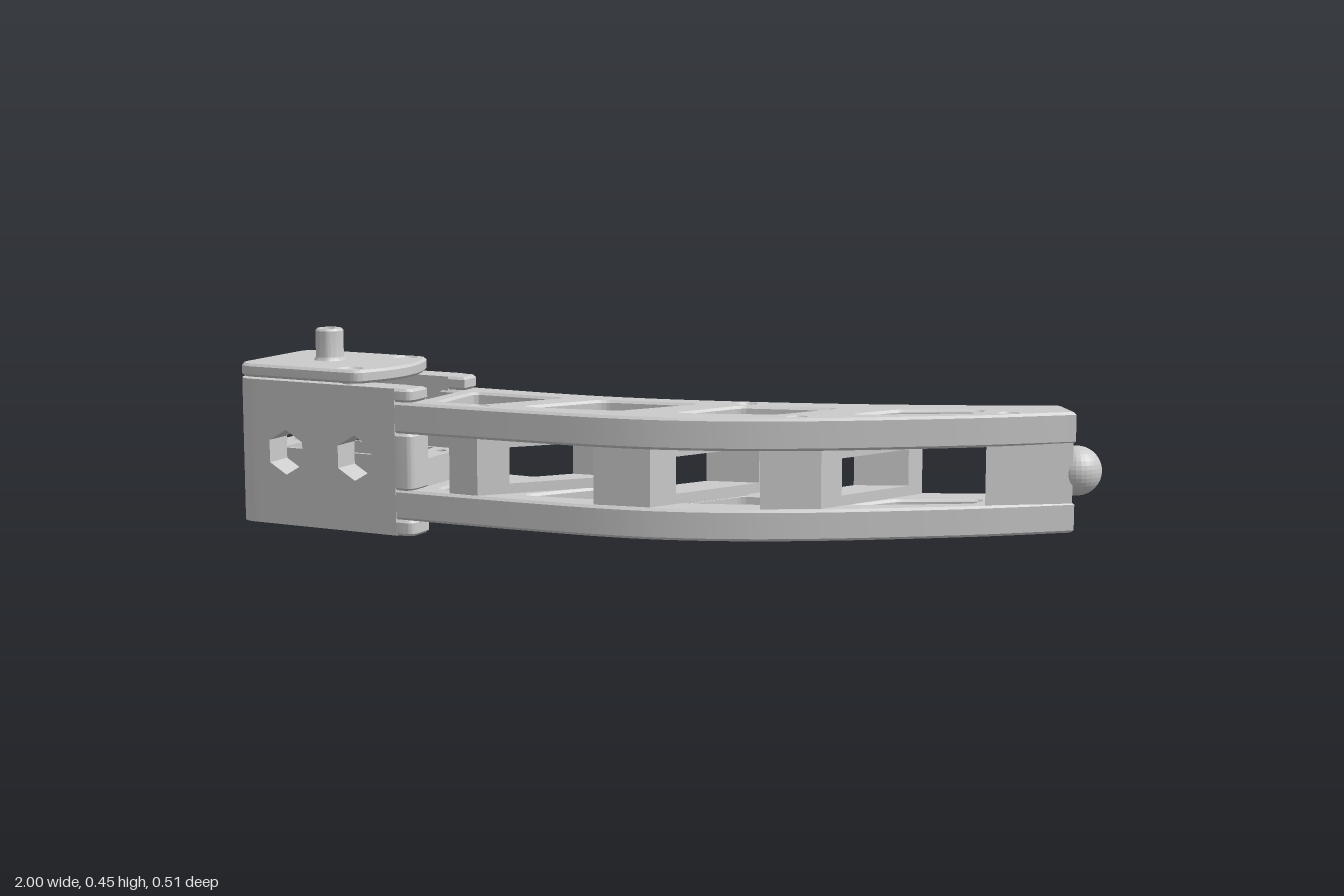
import * as THREE from 'three';
import { toCreasedNormals } from 'three/addons/utils/BufferGeometryUtils.js';

const material = new THREE.MeshStandardMaterial({ color: 0xcccccc });

function add(parent, name, geometry, x = 0, y = 0, z = 0) {
  const mesh = new THREE.Mesh(geometry, material);
  mesh.name = name;
  mesh.position.set(x, y, z);
  parent.add(mesh);
}

// Closed polygon of [x, z, radius] corners, drawn in plan (z is flipped)
function roundedPath(path, corners, radius = 0) {
  const n = corners.length;
  const p = corners.map(c => new THREE.Vector2(c[0], -c[1]));
  for (let i = 0; i < n; i++) {
    const r = corners[i][2] ?? radius;
    const toward = q => p[i].clone().add(q.clone().sub(p[i]).setLength(r));
    const a = toward(p[(i + n - 1) % n]), b = toward(p[(i + 1) % n]);
    if (i === 0) path.moveTo(a.x, a.y); else path.lineTo(a.x, a.y);
    if (r > 0) path.quadraticCurveTo(p[i].x, p[i].y, b.x, b.y);
  }
  path.closePath();
  return path;
}

const circle = (x, z, r) => new THREE.Path().absarc(x, -z, r, 0, Math.PI * 2, true);

// Plan shape raised from y0 to y1 with chamfered edges; the outline is
// made counter-clockwise so that every hole wall faces the right way
function slab(shape, y0, y1, bevel = 0.006) {
  const points = shape.getPoints(10);
  if (THREE.ShapeUtils.isClockWise(points)) points.reverse();
  const outline = new THREE.Shape(points);
  outline.holes = shape.holes;
  const g = new THREE.ExtrudeGeometry(outline, {
    depth: y1 - y0 - 2 * bevel, bevelEnabled: bevel > 0, bevelSize: bevel,
    bevelThickness: bevel, bevelOffset: -bevel, bevelSegments: 1, curveSegments: 10,
  });
  g.rotateX(-Math.PI / 2);
  g.translate(0, y0 + bevel, 0);
  return toCreasedNormals(g, 0.6);
}

const WIDTH = 0.306, WALL = 0.07, LENGTH = 0.485;

function createBase() {
  const base = new THREE.Group();
  base.name = 'baseBracket';
  base.position.set(-0.93, 0, -0.27);
  base.rotation.y = -Math.PI / 12;

  // Two side walls with hexagonal nut pockets, rounded heels and stepped fingers
  for (const back of [true, false]) {
    const side = back ? 'back' : 'front';
    const wall = new THREE.Shape();
    wall.moveTo(0.06, 0).lineTo(0.44, 0).lineTo(0.44, 0.34).lineTo(0.06, 0.34).closePath();
    for (const u of [0.14, 0.33]) {
      const hex = new THREE.Path();
      for (let i = 0; i < 6; i++) {
        const a = Math.PI / 2 - i * Math.PI / 3;
        hex[i ? 'lineTo' : 'moveTo'](u + 0.053 * Math.cos(a), 0.172 + 0.053 * Math.sin(a));
      }
      hex.closePath();
      wall.holes.push(hex);
    }
    add(base, side + 'Wall', new THREE.ExtrudeGeometry(wall, { depth: WALL, bevelEnabled: false }),
      0, 0, back ? 0 : WIDTH - WALL);

    const plan = corners => roundedPath(new THREE.Shape(),
      corners.map(([u, v, r]) => [u, back ? v : WIDTH - v, r]));
    const heel = plan([[0, 0, 0.05], [0.06, 0, 0], [0.06, WALL, 0], [0, WALL, 0]]);
    add(base, side + 'Heel', slab(heel, 0, 0.34, 0));
    const finger = plan([[0.43, 0, 0], [LENGTH, 0, 0.025], [LENGTH, WALL, 0], [0.43, WALL, 0]]);
    for (const [y0, y1] of [[0, 0.037], [0.105, 0.237], [0.309, 0.34]]) {
      add(base, side + 'Finger', slab(finger, y0, y1));
    }
  }

  // Mounting shelf with a large window and four screw holes
  const rect = (shape, u0, u1, v0, v1, r) =>
    roundedPath(shape, [[u0, v0], [u1, v0], [u1, v1], [u0, v1]], r);
  const shelf = rect(new THREE.Shape(), 0.005, 0.475, WALL, WIDTH - WALL, 0);
  shelf.holes.push(rect(new THREE.Path(), 0.08, 0.405, WALL + 0.01, WIDTH - WALL - 0.01, 0.005));
  for (const u of [0.04, 0.444]) for (const v of [0.112, 0.194]) shelf.holes.push(circle(u, v, 0.013));
  add(base, 'mountingShelf', slab(shelf, 0.105, 0.17, 0));

  // Upper bridge between the walls
  add(base, 'upperBridge', slab(rect(new THREE.Shape(), 0, 0.38, WALL, WIDTH - WALL, 0), 0.24, 0.31, 0));

  // Cap plate with bowed end
  const cap = new THREE.Shape();
  cap.moveTo(0.05, 0).lineTo(0.32, 0).quadraticCurveTo(0.345, 0, 0.352, -0.025)
    .quadraticCurveTo(0.418, -WIDTH / 2, 0.352, 0.025 - WIDTH)
    .quadraticCurveTo(0.345, -WIDTH, 0.32, -WIDTH).lineTo(0.05, -WIDTH)
    .quadraticCurveTo(0, -WIDTH, 0, 0.05 - WIDTH).lineTo(0, -0.05).quadraticCurveTo(0, 0, 0.05, 0);
  const screws = [0.034, WIDTH - 0.034];
  for (const v of screws) cap.holes.push(circle(0.3, v, 0.024));
  add(base, 'capPlate', slab(cap, 0.344, 0.375));
  for (const v of screws) {
    add(base, 'capScrew', new THREE.CylinderGeometry(0.018, 0.018, 0.034, 20), 0.3, 0.355, v);
  }

  // Hollow pivot pin with a small flared foot
  const pin = [[0.04, 0.372], [0.036, 0.377], [0.033, 0.383], [0.033, 0.445], [0.029, 0.45],
    [0.014, 0.45], [0.014, 0.41], [0, 0.41]].map(p => new THREE.Vector2(...p));
  add(base, 'pivotPin', toCreasedNormals(new THREE.LatheGeometry(pin, 28), 0.5), 0.165, 0, WIDTH / 2);
  return base;
}

function createArm() {
  const arm = new THREE.Group();
  arm.name = 'curvedArm';

  // Outline of the truss plates: back edge, slanted tip, front edge, notched root
  const flip = list => list.map(([x, z]) => new THREE.Vector2(x, -z));
  const backEdge = flip([[-0.4, -0.122], [-0.29, -0.09], [-0.14, -0.055], [0.03, -0.036],
    [0.24, -0.032], [0.46, -0.043], [0.67, -0.068], [0.905, -0.105]]);
  const frontEdge = flip([[0.75, 0.08], [0.56, 0.149], [0.38, 0.205], [0.22, 0.24], [0.06, 0.254],
    [-0.08, 0.245], [-0.24, 0.216], [-0.4, 0.182], [-0.603, 0.134]]);
  const plate = new THREE.Shape();
  plate.moveTo(-0.525, 0.157).splineThru(backEdge).lineTo(0.942, 0.005).splineThru(frontEdge);
  for (const p of flip([[-0.584, 0.063], [-0.531, 0.077], [-0.49, -0.075], [-0.543, -0.09]])) {
    plate.lineTo(p.x, p.y);
  }
  plate.closePath();

  // Slanted lightening windows and screw holes
  const windows = [
    [[-0.45, -0.06], [-0.225, -0.005], [-0.38, 0.132], [-0.49, 0.108]],
    [[-0.125, 0.01], [0.095, 0.03], [-0.065, 0.172], [-0.28, 0.145]],
    [[0.2, 0.042], [0.415, 0.04], [0.295, 0.155], [0.075, 0.177]],
    [[0.55, 0.038], [0.74, 0.003], [0.725, 0.05], [0.46, 0.125]],
  ];
  for (const w of windows) plate.holes.push(roundedPath(new THREE.Path(), w, 0.02));
  for (const [x, z] of [[-0.38, 0.157], [0.205, 0.002], [0.345, 0.185], [0.795, 0.04]]) {
    plate.holes.push(circle(x, z, 0.018));
  }
  add(arm, 'lowerPlate', slab(plate, 0.037, 0.107));
  add(arm, 'upperPlate', slab(plate, 0.237, 0.309));

  // Diagonal webs between the plates, each pierced by a wide window:
  // two end pillars joined by a low and a high rail
  const webs = [
    { front: [[-0.45, 0.16], [-0.38, 0.178]], back: [[-0.165, -0.05], [-0.06, -0.035]] },
    { front: [[-0.1, 0.232], [0.03, 0.243]], back: [[0.15, -0.022], [0.27, -0.022]] },
    { front: [[0.27, 0.218], [0.4, 0.187]], back: [[0.48, -0.03], [0.6, -0.045]] },
  ];
  for (const { front, back } of webs) {
    const mix = (i, t) => front[i].map((f, k) => f + (back[i][k] - f) * t);
    const piece = (name, t0, t1, y0, y1) => add(arm, name,
      slab(roundedPath(new THREE.Shape(), [mix(0, t0), mix(1, t0), mix(1, t1), mix(0, t1)]), y0, y1, 0));
    piece('webFrontPillar', 0, 0.2, 0.104, 0.24);
    piece('webBackPillar', 0.86, 1, 0.104, 0.24);
    piece('webLowRail', 0.2, 0.86, 0.104, 0.13);
    piece('webHighRail', 0.2, 0.86, 0.213, 0.24);
  }

  // Solid tip block and ball
  const tip = roundedPath(new THREE.Shape(),
    [[0.75, -0.078], [0.9, -0.1], [0.937, -0.005], [0.75, 0.075]]);
  add(arm, 'tipBlock', slab(tip, 0.104, 0.24, 0));
  add(arm, 'tipBall', toCreasedNormals(new THREE.SphereGeometry(0.056, 28, 18), 0.05), 0.944, 0.17, -0.054);
  return arm;
}

export function createModel() {
  const model = new THREE.Group();
  model.name = 'jointedArmSegment';
  model.add(createBase(), createArm());
  return model;
}
